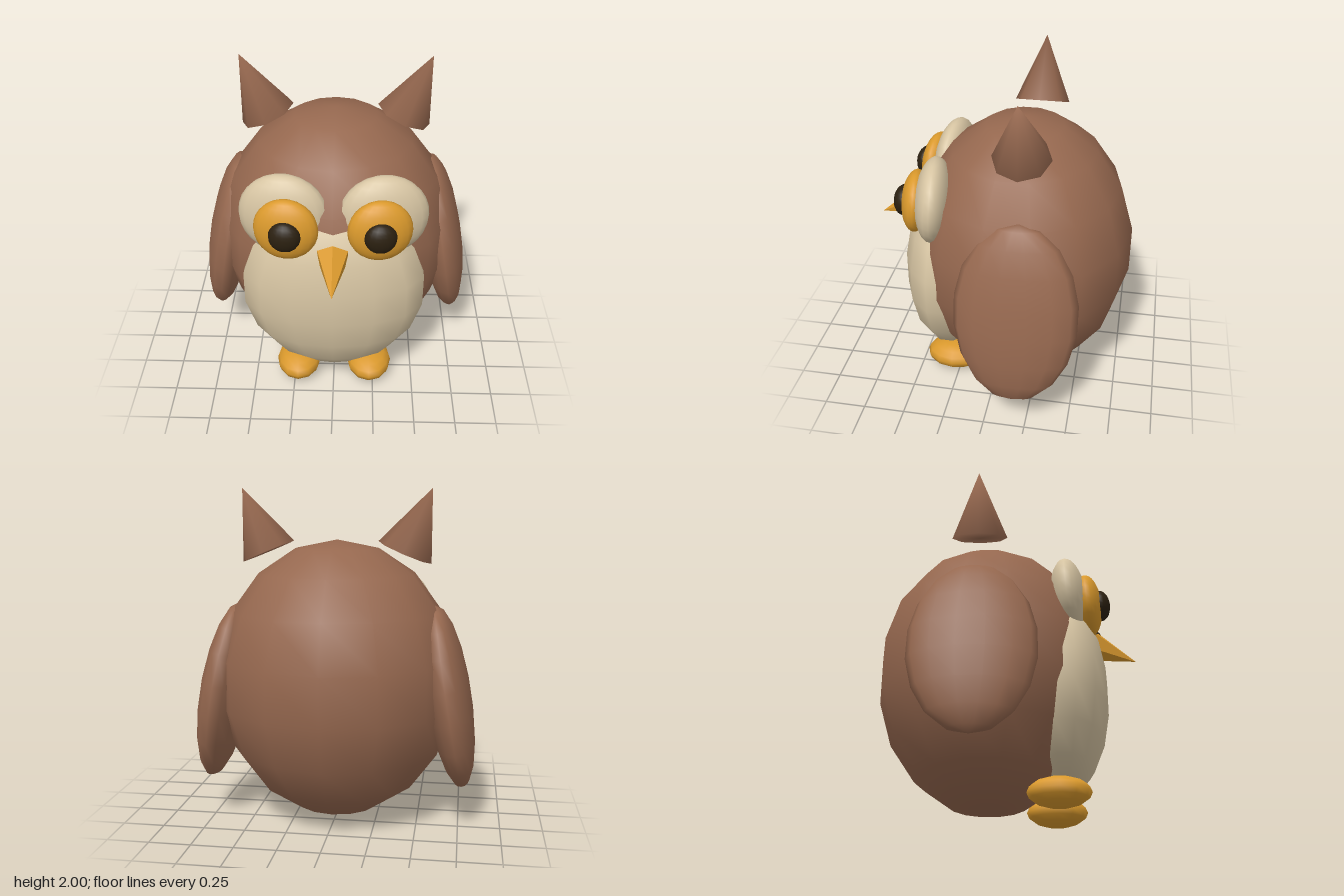
import * as THREE from 'three';
import { mergeVertices } from 'three/addons/utils/BufferGeometryUtils.js';

const paint = (name, color) => {
  const m = new THREE.MeshStandardMaterial({ color });
  m.name = name;
  return m;
};

export function createModel() {
  const brown = paint('brown feathers', 0x96684f);
  const cream = paint('cream feathers', 0xd6c4a2);
  const orange = paint('orange', 0xda992c);
  const black = paint('pupil black', 0x2b2010);
  const beakMaterial = orange.clone();
  beakMaterial.name = 'orange beak';
  beakMaterial.flatShading = true;

  const owl = new THREE.Group();
  owl.name = 'owl';

  const add = (name, geometry, material, position, rotation = [0, 0, 0]) => {
    const mesh = new THREE.Mesh(geometry, material);
    mesh.name = name;
    mesh.position.set(...position);
    mesh.rotation.set(...rotation);
    owl.add(mesh);
    return mesh;
  };

  // Ellipsoid with a column of vertices along the front and back
  const ellipsoid = (rx, ry, rz, columns = 14, rows = 9) =>
    new THREE.SphereGeometry(1, columns, rows).rotateY(Math.PI / 2).scale(rx, ry, rz);

  // Rounded body and belly patch
  add('body', ellipsoid(0.73, 0.84, 0.675), brown, [0, 0.86, -0.12]);
  add('belly', ellipsoid(0.56, 0.595, 0.29), cream, [0, 0.725, 0.315]);

  // Six-sided beak pointing forward and down
  const beak = new THREE.ConeGeometry(0.1, 0.28, 6).translate(0, 0.14, 0);
  add('beak', beak, beakMaterial, [0, 1.08, 0.525], [Math.PI / 2 + 0.385, 0, 0]);

  // Soft-edged ear tuft: rim normals are shared by side and base
  const tuft = new THREE.ConeGeometry(0.168, 0.4, 8);
  tuft.deleteAttribute('normal');
  tuft.deleteAttribute('uv');
  const earGeometry = mergeVertices(tuft);
  earGeometry.computeVertexNormals();

  for (const s of [1, -1]) {
    const side = s > 0 ? 'left' : 'right';
    const gaze = [-0.06, s * 0.12, 0];

    add(`${side}EyeDisc`, ellipsoid(0.262, 0.252, 0.11, 20, 14), cream, [s * 0.285, 1.255, 0.37], gaze);
    add(`${side}Iris`, ellipsoid(0.186, 0.187, 0.085, 20, 14), orange, [s * 0.265, 1.227, 0.483], gaze);
    add(`${side}Pupil`, ellipsoid(0.092, 0.092, 0.06, 16, 12), black, [s * 0.267, 1.225, 0.557], gaze);

    // Wings hang with their tips swung outward
    add(`${side}Wing`, ellipsoid(0.135, 0.552, 0.36), brown, [s * 0.68, 0.78, -0.18], [0, 0, s * 0.17]);

    add(`${side}Ear`, earGeometry, brown, [s * 0.483, 1.815, -0.165], [0, 0, -s * 0.397]);
    add(`${side}Foot`, ellipsoid(0.14, 0.087, 0.183, 12, 8), orange, [s * 0.225, 0.087, 0.285]);
  }

  return owl;
}
